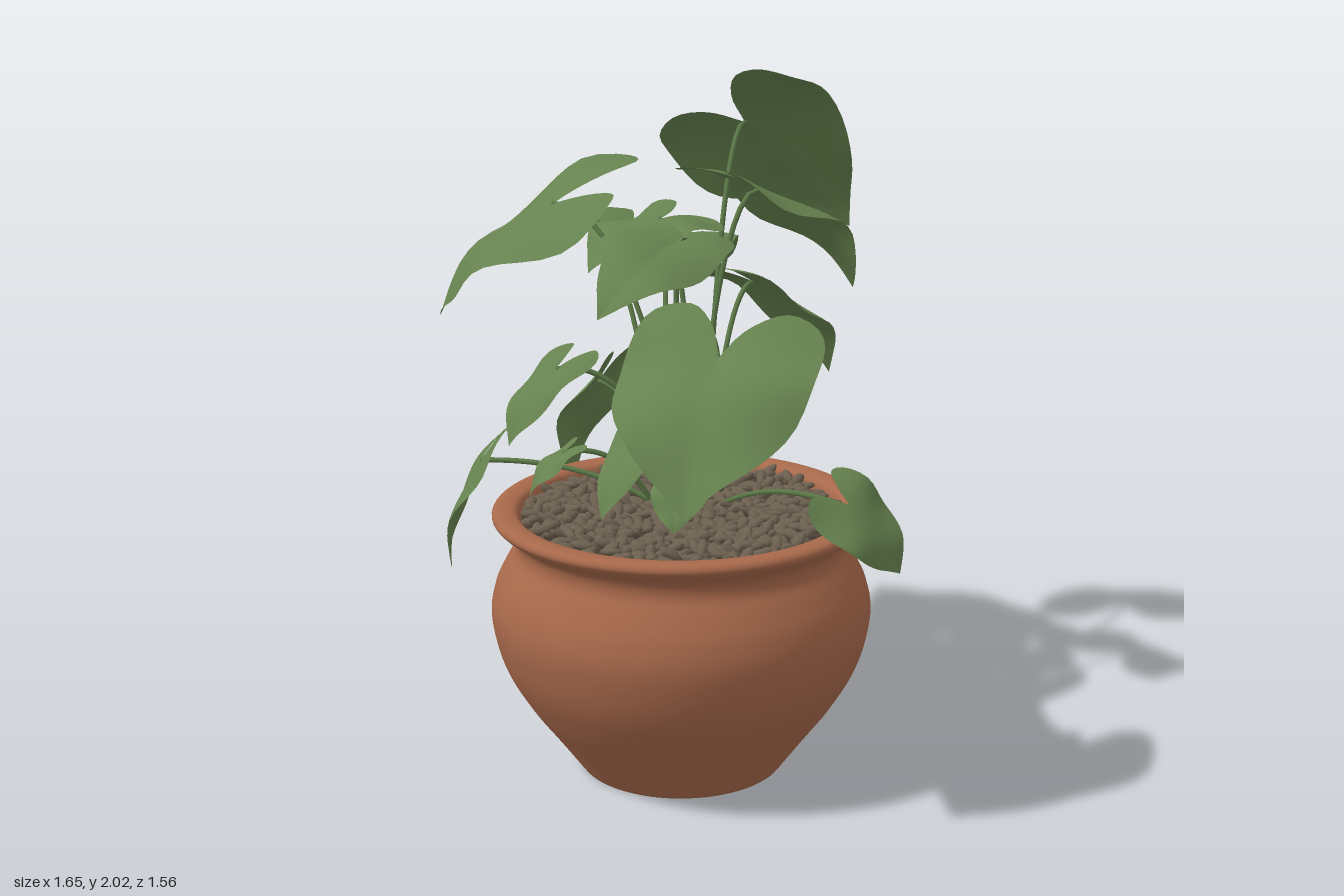
import * as THREE from 'three';
import { mergeGeometries } from 'three/addons/utils/BufferGeometryUtils.js';

const V = (x, y, z) => new THREE.Vector3(x, y, z);
const mat = (name, color, side = THREE.FrontSide) => {
  const m = new THREE.MeshStandardMaterial({ color, side });
  m.name = name;
  return m;
};

// Small seeded random
let seed = 7;
const rand = () => {
  seed = (seed * 16807) % 2147483647;
  return seed / 2147483647;
};

const CX = 0.11, CZ = 0.22; // pot axis

// Half outline of a heart-shaped leaf: x runs stalk to tip, y runs out sideways
const outline = new THREE.CatmullRomCurve3([
  V(0, 0, 0), V(-0.24, 0.18, 0), V(-0.4, 0.48, 0), V(-0.3, 0.84, 0), V(0.03, 1, 0),
  V(0.35, 0.92, 0), V(0.65, 0.62, 0), V(0.86, 0.26, 0), V(1, 0, 0),
]);

// Leaf blade from stalk joint to tip, level across unless rolled about its axis
function leafGeometry(joint, tip, w, roll, phase) {
  const rows = 28, cols = 14, pos = [], idx = [];
  const axis = tip.clone().sub(joint);
  const len = axis.length();
  const side = axis.clone().cross(V(0, 1, 0)).normalize().applyAxisAngle(axis.clone().normalize(), -roll);
  const n = side.clone().cross(axis).normalize();
  for (let i = 0; i <= rows; i++) {
    const t = i / rows, o = outline.getPoint(t), mid = Math.pow(t, 1.4);
    for (let j = 0; j <= cols; j++) {
      const s = (j / cols) * 2 - 1, a = Math.abs(s);
      const u = mid + (o.x - mid) * a, v = o.y * s;
      // arch along the midrib, drooping margins, gentle waves
      const lift = len * 0.34 * u * (1 - u)
        + w * (0.2 * a * o.y - 0.3 * v * v + 0.13 * v * Math.sin(7 * u + phase));
      const p = joint.clone().addScaledVector(axis, u).addScaledVector(side, v * w).addScaledVector(n, lift);
      pos.push(p.x, p.y, p.z);
      if (i < rows && j < cols) {
        const k = i * (cols + 1) + j, m = k + cols + 1;
        idx.push(k, k + 1, m, k + 1, m + 1, m);
      }
    }
  }
  const g = new THREE.BufferGeometry();
  g.setAttribute('position', new THREE.Float32BufferAttribute(pos, 3));
  g.setIndex(idx);
  g.computeVertexNormals();
  return g;
}

// Arching stalk from the soil to the leaf joint
function stemGeometry(joint, root) {
  const ctrl = V(root.x + (joint.x - root.x) * 0.4, joint.y + 0.04, root.z + (joint.z - root.z) * 0.4);
  return new THREE.TubeGeometry(new THREE.QuadraticBezierCurve3(root, ctrl, joint), 20, 0.008, 6);
}

// Each leaf: joint, tip, half width, roll if any
const leaves = [
  [V(-0.22, 1.83, -0.36), V(-0.16, 1.46, -0.78), 0.25, 0.88], // tall back
  [V(-0.38, 1.47, -0.17), V(-0.63, 1.26, -0.39), 0.23],       // back right
  [V(-0.12, 1.35, -0.3), V(-0.12, 1, -0.65), 0.17],           // low back
  [V(0.11, 1.69, -0.1), V(0.18, 1.36, -0.43), 0.23],          // upper back
  [V(-0.59, 1.54, 0), V(-0.83, 1.42, -0.17), 0.17],           // far right
  [V(-0.43, 1.62, 0.24), V(-0.8, 1.24, 0.4), 0.29, 0.36],     // large front right
  [V(0.54, 1.36, 0.48), V(0.68, 1, 0.74), 0.28],              // large front left
  [V(0.64, 0.87, 0.06), V(0.72, 0.67, -0.06), 0.12, -0.9],    // small left
  [V(-0.48, 0.86, 0.5), V(-0.55, 0.51, 0.57), 0.125],         // hanging front right
  [V(-0.43, 1.04, 0.07), V(-0.52, 0.69, 0.1), 0.16],          // hanging right
  [V(-0.14, 1.59, 0.07), V(-0.2, 1.45, 0.3), 0.23],           // upper middle
  [V(0.09, 1.57, 0.22), V(0.12, 1.4, 0.54), 0.15, 0.33],      // upper front
  [V(0.14, 1.08, 0.34), V(0.16, 0.84, 0.57), 0.11],           // front heart
  [V(-0.15, 1.2, 0.47), V(-0.16, 1, 0.64), 0.1],              // front right heart
  [V(-0.13, 0.95, 0.47), V(-0.17, 0.83, 0.56), 0.07],         // low front
  [V(0.31, 0.93, 0.41), V(0.35, 0.82, 0.47), 0.08],           // low front left
  [V(-0.27, 1.14, -0.1), V(-0.32, 0.84, -0.24), 0.14, 0.58],  // low back right
];

export function createModel() {
  const model = new THREE.Group();
  const clay = mat('terracotta', 0xa8694b, THREE.DoubleSide);
  const soilMat = mat('soil', 0x4a4035);
  const stoneMat = mat('pebble brown', 0x6b5f4f);
  const leafMat = mat('leaf green', 0x66824f, THREE.DoubleSide);
  const stemMat = mat('stem green', 0x5b7847);
  const add = (name, geo, m, parent = model) => {
    const mesh = new THREE.Mesh(geo, m);
    mesh.name = name;
    parent.add(mesh);
    return mesh;
  };

  // Pot body with rolled rim, and a foot ring around the recessed base
  const toPoints = (list) => list.map(([r, y]) => new THREE.Vector2(r, y));
  const body = new THREE.SplineCurve(toPoints([
    [0.305, 0], [0.385, 0.11], [0.465, 0.22], [0.53, 0.34], [0.56, 0.47], [0.548, 0.56],
    [0.515, 0.63], [0.488, 0.68], [0.495, 0.725], [0.54, 0.76], [0.553, 0.78], [0.54, 0.797],
    [0.5, 0.797], [0.475, 0.78], [0.465, 0.72],
  ])).getPoints(70);
  const base = toPoints([[0, 0.03], [0.25, 0.03], [0.275, 0.004], [0.29, 0]]);
  add('pot', new THREE.LatheGeometry([...base, ...body], 72), clay).position.set(CX, 0, CZ);

  // Soil
  const soil = add('soil', new THREE.CircleGeometry(0.475, 48), soilMat);
  soil.rotation.x = -Math.PI / 2;
  soil.position.set(CX, 0.755, CZ);

  // Pebbles spread evenly in a spiral with jitter
  const stones = [], count = 620, d = new THREE.Object3D();
  for (let i = 0; i < count; i++) {
    const r = 0.455 * Math.sqrt((i + 0.5) / count), a = i * 2.39996 + rand() * 0.1;
    d.position.set(CX + r * Math.cos(a), 0.764 + rand() * 0.022, CZ + r * Math.sin(a));
    d.rotation.set((rand() - 0.5) * 0.9, rand() * Math.PI, (rand() - 0.5) * 0.9);
    d.scale.set(0.028 + rand() * 0.014, 0.011 + rand() * 0.005, 0.015 + rand() * 0.005);
    d.updateMatrix();
    stones.push(new THREE.SphereGeometry(1, 8, 6).applyMatrix4(d.matrix));
  }
  add('pebbles', mergeGeometries(stones), stoneMat);

  // Stems and leaves
  const plant = new THREE.Group();
  plant.name = 'plant';
  model.add(plant);
  leaves.forEach(([joint, tip, width, roll = 0], i) => {
    const root = V(
      0.06 + 0.05 * Math.cos(i * 2.4) + joint.x * 0.12, 0.75,
      0.14 + 0.05 * Math.sin(i * 2.4) + joint.z * 0.1);
    add('stem', stemGeometry(joint, root), stemMat, plant);
    add('leaf', leafGeometry(joint, tip, width, roll, i * 1.7), leafMat, plant);
  });
  return model;
}
